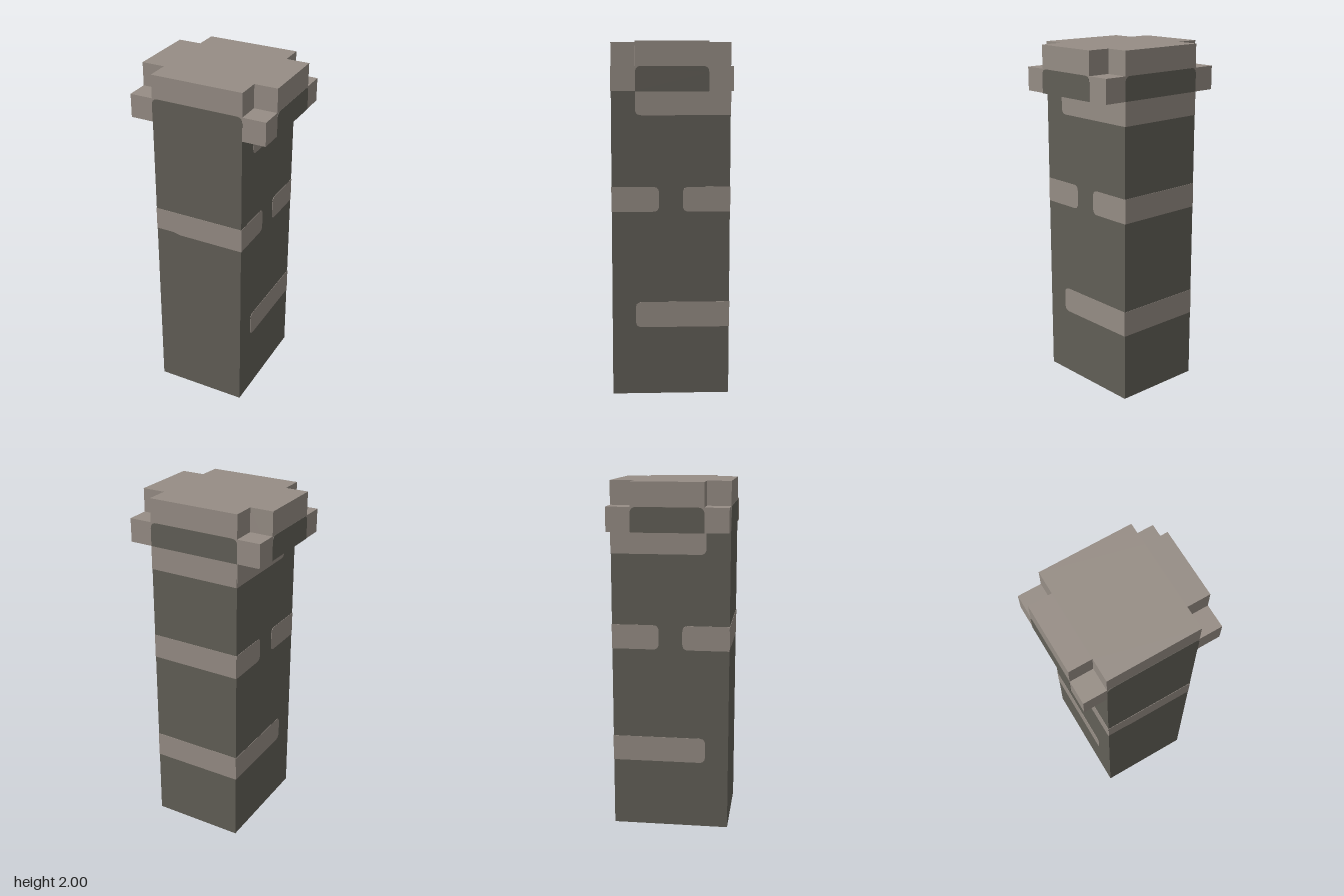
import * as THREE from 'three';

const W = 0.267, D = 0.333, OUT = 0.4, ARM = 0.2; // half sizes of shaft and cap
const LOW = 1.733, MID = 1.867, TOP = 2;          // cap levels
const T = 0.002;                                  // thickness of painted plates

// Rectangle with a radius per corner: [bottomLeft, bottomRight, topRight, topLeft]
function roundedRect(x0, x1, y0, y1, [bl, br, tr, tl]) {
  const s = new THREE.Shape();
  s.moveTo(x0 + bl, y0);
  s.lineTo(x1 - br, y0);
  if (br) s.quadraticCurveTo(x1, y0, x1, y0 + br);
  s.lineTo(x1, y1 - tr);
  if (tr) s.quadraticCurveTo(x1, y1, x1 - tr, y1);
  s.lineTo(x0 + tl, y1);
  if (tl) s.quadraticCurveTo(x0, y1, x0, y1 - tl);
  s.lineTo(x0, y0 + bl);
  if (bl) s.quadraticCurveTo(x0, y0, x0 + bl, y0);
  return s;
}

export function createModel() {
  const model = new THREE.Group();
  model.name = 'stonePillar';
  const light = new THREE.MeshStandardMaterial({ color: 0x968d85 });
  light.name = 'lightStone';
  const dark = new THREE.MeshStandardMaterial({ color: 0x625f57 });
  dark.name = 'darkStone';

  const add = (name, geometry, material) => {
    const mesh = new THREE.Mesh(geometry, material);
    mesh.name = name;
    model.add(mesh);
    return mesh;
  };
  const box = (name, x0, x1, y0, y1, z0, z1, material) =>
    add(name, new THREE.BoxGeometry(x1 - x0, y1 - y0, z1 - z0), material)
      .position.set((x0 + x1) / 2, (y0 + y1) / 2, (z0 + z1) / 2);
  // Thin plate lying on the side of the model turned by angle, at a distance from the axis
  const plate = (name, shape, angle, distance, material) => {
    const g = new THREE.ExtrudeGeometry(shape, { depth: T, bevelEnabled: false, curveSegments: 5 });
    g.translate(0, 0, distance).rotateY(angle);
    add(name, g, material);
  };

  // Shaft
  box('shaft', -W, W, 0, LOW, -D, D, dark);

  // Cross-shaped cap
  const cross = new THREE.Shape([
    [-W, -D], [W, -D], [W, -ARM], [OUT, -ARM], [OUT, ARM], [W, ARM],
    [W, D], [-W, D], [-W, ARM], [-OUT, ARM], [-OUT, -ARM], [-W, -ARM],
  ].map(([x, y]) => new THREE.Vector2(x, y)));
  const capGeometry = new THREE.ExtrudeGeometry(cross, { depth: TOP - LOW, bevelEnabled: false });
  capGeometry.rotateX(-Math.PI / 2).translate(0, LOW, 0);
  add('cap', capGeometry, light);

  // Lower blocks in the four corners of the cap
  for (const sx of [-1, 1]) for (const sz of [-1, 1]) {
    const x = sx * (W + OUT) / 2, z = sz * (ARM + D) / 2;
    const hx = (OUT - W) / 2, hz = (D - ARM) / 2;
    box('cornerBlock', x - hx, x + hx, LOW, MID, z - hz, z + hz, light);
  }

  // Dark panels on the cap, front and back
  const r = 0.035;
  for (const angle of [0, Math.PI])
    plate('capPanel', roundedRect(-W, W, LOW, MID, [0, 0, r, r]), angle, D, dark);

  // Front band with a small step in its lower edge
  const frontBand = new THREE.Shape([
    [-W, 1.07], [-0.16, 1.07], [-0.12, 1.06], [W, 1.06], [W, 1.2], [-W, 1.2],
  ].map(([x, y]) => new THREE.Vector2(x, y)));
  plate('frontBand', frontBand, 0, D, light);

  // Back bands
  for (const [y0, y1] of [[0.393, 0.54], [1.06, 1.2], [1.6, LOW]])
    plate('backBand', roundedRect(-W, W, y0, y1, [0, 0, 0, 0]), Math.PI, D, light);

  // Side bands, mirrored left and right; z runs along the side
  for (const s of [1, -1]) {
    const angle = s * Math.PI / 2;
    const band = (z0, z1, y0, y1, backBottom, frontBottom, frontTop, backTop) => {
      const shape = s > 0
        ? roundedRect(-z1, -z0, y0, y1, [frontBottom, backBottom, backTop, frontTop])
        : roundedRect(z0, z1, y0, y1, [backBottom, frontBottom, frontTop, backTop]);
      plate('sideBand', shape, angle, W, light);
    };
    band(-D, ARM, 0.393, 0.54, 0, r, r, 0);
    band(-D, -0.067, 1.06, 1.2, 0, r, r, 0);
    band(0.067, D, 1.06, 1.2, r, 0, 0, r);
    band(-D, ARM, 1.6, LOW, 0, r, 0, 0);

    // Dark panel on the cap arm and its dark underside
    plate('armPanel', roundedRect(-ARM, ARM, LOW, MID, [0, 0, r, r]), angle, OUT, dark);
    const [x0, x1] = s > 0 ? [W, OUT] : [-OUT, -W];
    box('armUnderside', x0, x1, LOW - T, LOW, -ARM, ARM, dark);
  }
  return model;
}
